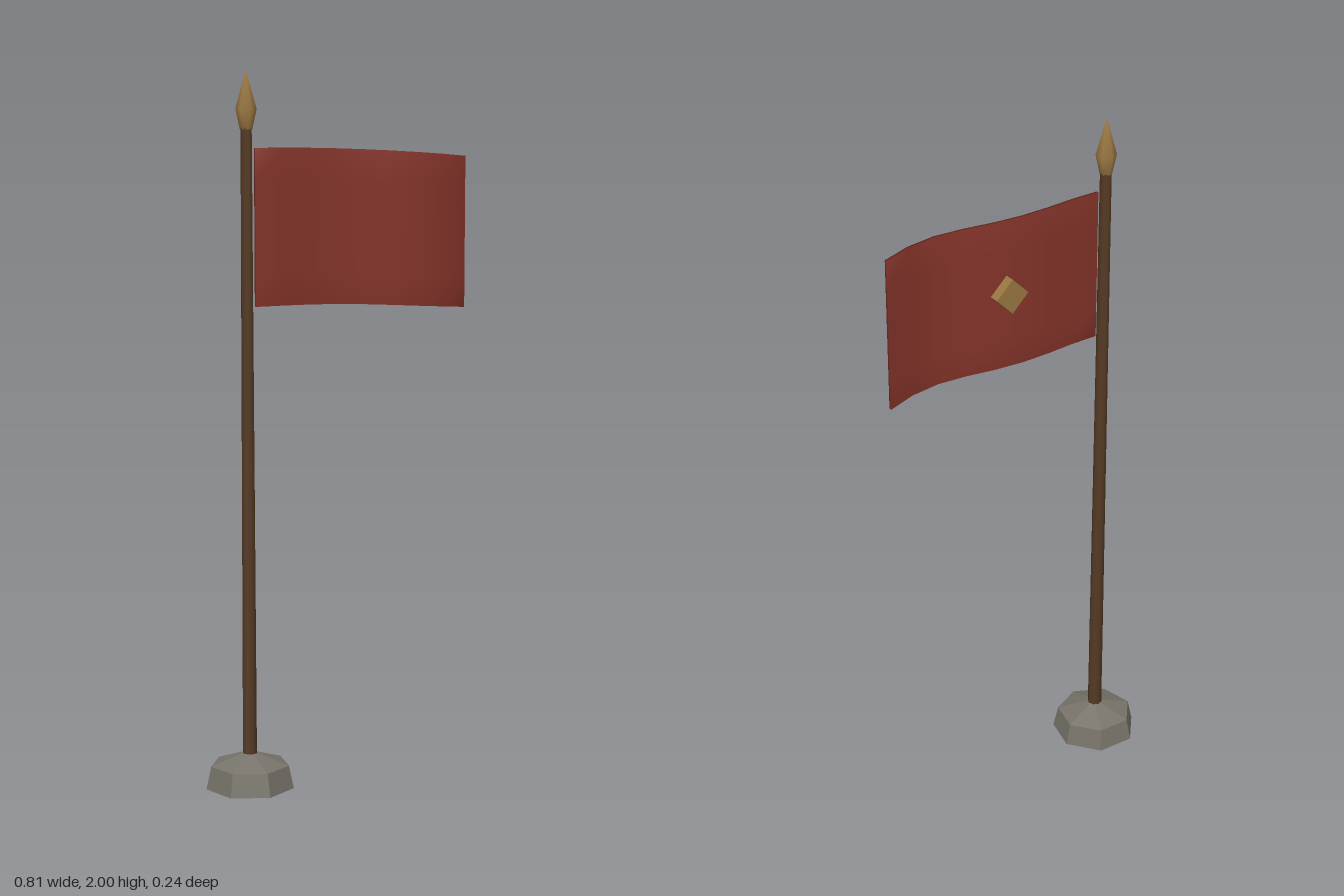
import * as THREE from 'three';
import { mergeVertices } from 'three/addons/utils/BufferGeometryUtils.js';

const material = (name, color, flatShading = false) => {
  const m = new THREE.MeshStandardMaterial({ color, flatShading });
  m.name = name;
  return m;
};

// Weld all corners so shading runs softly over the edges
function soften(geometry) {
  geometry.deleteAttribute('normal');
  geometry.deleteAttribute('uv');
  const g = mergeVertices(geometry, 1e-4);
  g.computeVertexNormals();
  return g;
}

const lathe = (points, sides) =>
  new THREE.LatheGeometry(points.map(([r, y]) => new THREE.Vector2(r, y)), sides);

export function createModel() {
  const group = new THREE.Group();
  const stone = material('stone', 0x77736a, true);
  const wood = material('dark wood', 0x553a24);
  const cloth = material('red cloth', 0x85342a);
  const brass = material('brass', 0x9a7843);
  const brassFlat = brass;
  const poleX = -0.285, poleZ = -0.008;

  const add = (name, geometry, mat, x = 0, y = 0, z = 0) => {
    const mesh = new THREE.Mesh(geometry, mat);
    mesh.name = name;
    mesh.position.set(x, y, z);
    group.add(mesh);
    return mesh;
  };

  // Seven-sided stone foot with a shallow pointed top
  add('base', lathe([[0, 0], [0.126, 0], [0.112, 0.065], [0, 0.105]], 7), stone, poleX, 0, poleZ);

  // Slightly tapered pole
  add('pole', soften(new THREE.CylinderGeometry(0.016, 0.021, 1.83, 8)), wood, poleX, 0.935, poleZ);

  // Spear-shaped tip
  add('finial', soften(lathe([[0, 1.84], [0.017, 1.84], [0.029, 1.895], [0, 2]], 6)), brass, poleX, 0, poleZ);

  // Waving flag: a thin slab whose columns follow the wave and droop
  const wave = [-0.003, -0.006, -0.013, -0.014, -0.004, 0.015, 0.028, 0.022, -0.003];
  const width = 0.667, left = -0.262;
  const slab = new THREE.BoxGeometry(width, 0.432, 0.009, 8, 5, 1);
  const p = slab.attributes.position;
  for (let i = 0; i < p.count; i++) {
    const t = p.getX(i) / width + 0.5;
    p.setXYZ(i, left + t * width, p.getY(i) + 1.574 - 0.031 * t * t,
      p.getZ(i) + wave[Math.round(t * 8)]);
  }
  add('flag', soften(slab), cloth);

  // Diamond emblem on the back of the flag
  const emblem = add('emblem', new THREE.BoxGeometry(0.071, 0.071, 0.03), brassFlat, 0.04, 1.575, -0.028);
  emblem.rotation.z = Math.PI / 4;

  return group;
}
